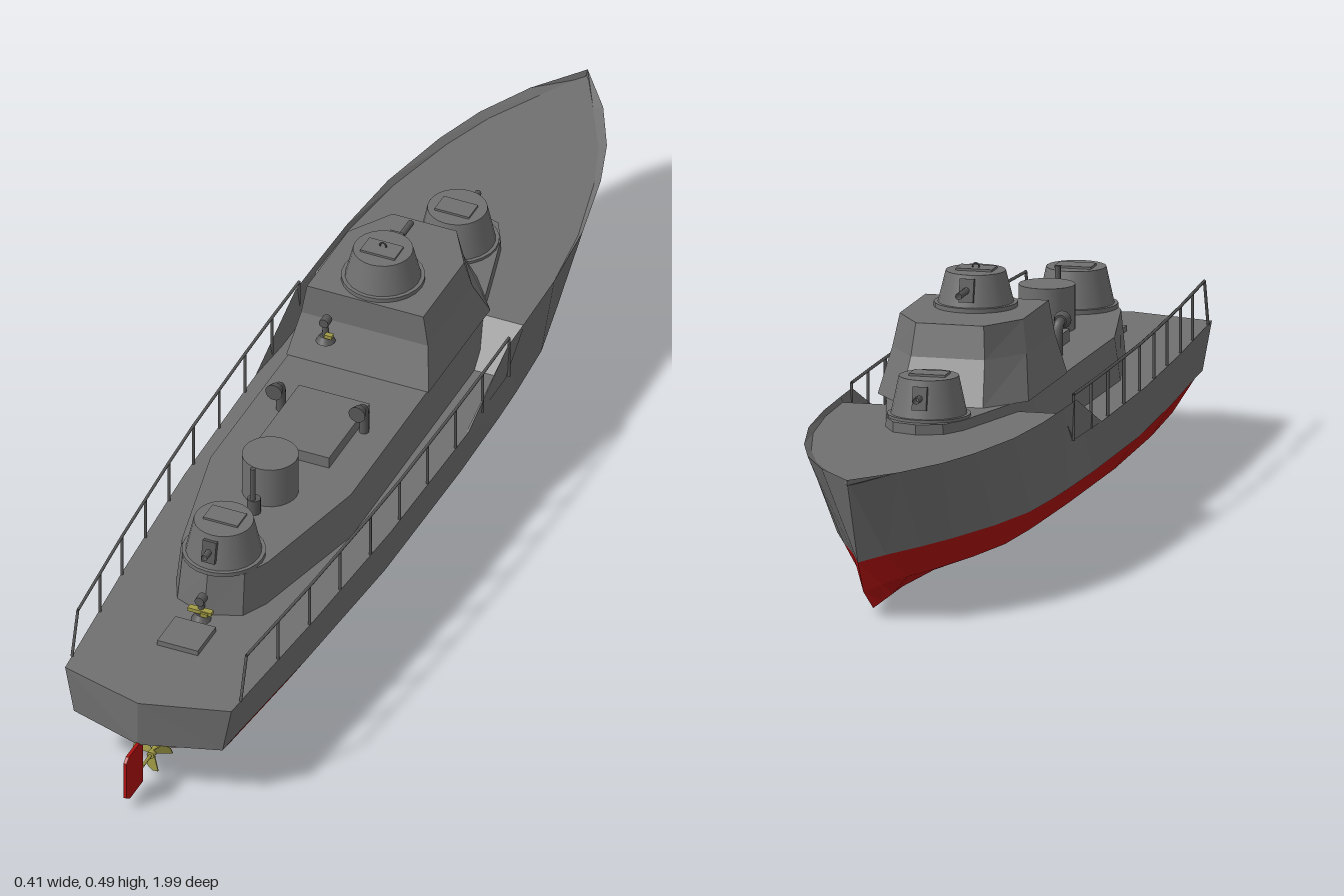
import * as THREE from 'three';

const mat = (name, color) => {
  const m = new THREE.MeshStandardMaterial({ color, side: THREE.DoubleSide });
  m.name = name;
  return m;
};

// Flat-faced surface through rows of points, with optional fan caps [centre, ring]
function sheet(rows, caps = []) {
  const v = [];
  for (let i = 0; i < rows.length - 1; i++) {
    for (let j = 0; j < rows[i].length - 1; j++) {
      const a = rows[i][j], b = rows[i][j + 1], c = rows[i + 1][j + 1], d = rows[i + 1][j];
      v.push(...a, ...b, ...c, ...a, ...c, ...d);
    }
  }
  for (const [centre, ring] of caps) {
    for (let j = 0; j < ring.length - 1; j++) v.push(...centre, ...ring[j], ...ring[j + 1]);
  }
  const g = new THREE.BufferGeometry();
  g.setAttribute('position', new THREE.Float32BufferAttribute(v, 3));
  g.computeVertexNormals();
  return g;
}

// Closed ring from a half outline [x, z] listed bow to stern
function ring(half, y) {
  const right = half.map(([x, z]) => [x, y, z]);
  return [...right.slice().reverse(), ...right.slice(1).map(([x, , z]) => [-x, y, z])];
}

export function createModel() {
  const ship = new THREE.Group();
  ship.name = 'patrolBoat';
  const grey = mat('hullGrey', 0x707070);
  const red = mat('bottomRed', 0xb01010);
  const brass = mat('brass', 0xa09a45);
  const dark = mat('fittingGrey', 0x585858);

  const add = (name, geo, m, pos = [0, 0, 0], parent = ship) => {
    const mesh = new THREE.Mesh(geo, m);
    mesh.name = name;
    mesh.position.set(...pos);
    parent.add(mesh);
    return mesh;
  };
  const box = (x, y, z) => new THREE.BoxGeometry(x, y, z);
  const cyl = (top, bottom, h, n = 24) => new THREE.CylinderGeometry(top, bottom, h, n);
  const tube = (pts, r, n = 16) => new THREE.TubeGeometry(
    new THREE.CatmullRomCurve3(pts.map(p => new THREE.Vector3(...p))), n, r, 10);
  // Thin rod between two points
  const rod = (name, a, b, r, m, parent = ship) => add(name, new THREE.TubeGeometry(
    new THREE.LineCurve3(new THREE.Vector3(...a), new THREE.Vector3(...b)), 1, r, 8), m, [0, 0, 0], parent);

  // Hull stations: z, deck half width, waterline half width, chine half width
  const stations = [
    [-0.99, 0, 0, 0], [-0.9, 0.07, 0.03, 0.015], [-0.8, 0.122, 0.07, 0.04],
    [-0.7, 0.155, 0.105, 0.07], [-0.55, 0.187, 0.147, 0.105], [-0.4, 0.2, 0.175, 0.13],
    [-0.27, 0.203, 0.184, 0.138], [-0.19, 0.204, 0.187, 0.14], [-0.02, 0.205, 0.19, 0.143],
    [0.3, 0.2, 0.187, 0.143], [0.6, 0.183, 0.168, 0.13], [0.83, 0.165, 0.148, 0.112],
    [0.9, 0.16, 0.143, 0], [0.945, 0, 0, 0],
  ];
  const rake = z => Math.max(0, (-0.4 - z) / 0.59);
  const edgeY = z => (z < -0.18 ? 0.267 : 0.195);
  const deckY = z => (z < -0.25 ? 0.257 : 0.195);
  const WATER = 0.105;
  const waterPoint = (s, side) => [side * s[2], WATER, s[0] + 0.075 * rake(s[0])];

  for (const side of [-1, 1]) {
    add('hullSide', sheet(stations.map(s => {
      const row = [waterPoint(s, side), [side * s[1], edgeY(s[0]), s[0]]];
      return side > 0 ? row : row.reverse();
    })), grey);
  }
  const bottomRows = stations.slice(0, 12).map(s => {
    const z = s[0], f = rake(z), aft = z > 0.8 ? 1 : 0;
    const chine = side => [side * s[3], 0.045, z + 0.113 * f - 0.02 * aft];
    return [waterPoint(s, -1), chine(-1), [0, 0.003 - 0.003 * aft, z + 0.18 * f - 0.03 * aft],
      chine(1), waterPoint(s, 1)];
  });
  add('hullBottom', sheet(bottomRows, [[[0, WATER, 0.83], bottomRows[11]]]), red);
  add('sternUnderside', sheet(stations.slice(11).map(s => [waterPoint(s, -1), waterPoint(s, 1)])), grey);

  // Deck with a bulwark lip that widens toward the bow
  add('deck', sheet(stations.map(([z, w]) => {
    const inner = Math.max(0, w - (z < 0.2 ? 0.004 + 0.018 * rake(z) : 0));
    return [[w, edgeY(z), z], [inner, deckY(z), z], [-inner, deckY(z), z], [-w, edgeY(z), z]];
  })), grey);

  // Long deckhouse
  const houseHalf = [[0, -0.52], [0.045, -0.505], [0.07, -0.46], [0.133, -0.22], [0.135, 0.33],
    [0.083, 0.57], [0.06, 0.62], [0, 0.645]];
  const houseRings = [ring(houseHalf.map(([x, z]) => [x * 1.05, z > 0 ? z + 0.014 : z]), 0.195),
    ring(houseHalf, 0.275)];
  add('deckhouse', sheet(houseRings, [[[0, 0.275, 0.05], houseRings[1]]]), grey);

  // Bridge with chamfered front corners: y, half width, front z, back z
  const bridgeRings = [[0.275, 0.137, -0.345, 0], [0.352, 0.122, -0.302, -0.03], [0.41, 0.112, -0.288, -0.033]]
    .map(([y, w, front, back]) => ring([[0, front], [w * 0.55, front], [w, front + 0.08], [w, back], [0, back]], y));
  add('bridge', sheet(bridgeRings, [[[0, 0.41, -0.15], bridgeRings[2]]]), grey);

  // Gun turrets, built facing +z
  function turret(name, y, z, height, reach, turn) {
    const g = new THREE.Group();
    g.name = name;
    g.position.set(0, y, z);
    g.rotation.y = turn;
    ship.add(g);
    add('turretBase', cyl(0.074, 0.074, 0.008), grey, [0, 0.004, 0], g);
    add('turretBody', cyl(0.053, 0.069, height), grey, [0, height / 2, 0], g);
    add('turretHatch', box(0.066, 0.004, 0.04), grey, [0, height + 0.002, -0.005], g);
    add('gunPort', box(0.026, 0.042, 0.016), dark, [0, height * 0.58, 0.058], g).rotation.x = -0.2;
    rod('gunBarrel', [0, height * 0.6, 0.05], [0, height * 0.6, reach], 0.006, dark, g);
    return g;
  }
  turret('foreTurret', 0.272, -0.43, 0.075, 0.09, Math.PI);
  turret('aftTurret', 0.275, 0.575, 0.073, 0.085, 0);
  const director = turret('bridgeTurret', 0.41, -0.11, 0.064, 0.12, Math.PI);
  const handle = add('hatchHandle', new THREE.TorusGeometry(0.006, 0.0015, 6, 12), dark, [0, 0.07, 0], director);
  handle.rotation.y = 0;

  // Funnel, post and deck hatches
  add('funnel', cyl(0.05, 0.05, 0.08), grey, [0, 0.315, 0.375]);
  add('post', cyl(0.005, 0.005, 0.1, 10), dark, [0, 0.323, 0.45]);
  add('postFoot', cyl(0.012, 0.012, 0.03, 12), dark, [0, 0.29, 0.445]);
  add('engineHatch', box(0.136, 0.022, 0.175), grey, [0, 0.286, 0.187]);
  add('aftHatch', box(0.078, 0.01, 0.078), grey, [0, 0.2, 0.735]);

  // Cowl vents
  for (const x of [-0.08, 0.08]) {
    add('ventPipe', tube([[x, 0.27, 0.15], [x, 0.31, 0.15], [x, 0.328, 0.156], [x, 0.332, 0.172]], 0.009), dark);
    add('ventMouth', cyl(0.016, 0.011, 0.016, 16), dark, [x, 0.332, 0.174]).rotation.x = Math.PI / 2;
  }

  // Small pedestal fittings
  function pedestal(name, x, y, z) {
    const g = new THREE.Group();
    g.name = name;
    g.position.set(x, y, z);
    ship.add(g);
    add('pedestalFoot', cyl(0.01, 0.018, 0.012, 12), dark, [0, 0.006, 0], g);
    add('pedestalStem', cyl(0.005, 0.007, 0.035, 10), dark, [0, 0.02, 0], g);
    add('pedestalHead', cyl(0.009, 0.009, 0.018, 12), dark, [0, 0.042, 0], g).rotation.x = Math.PI / 2;
    add('brassFitting', box(0.014, 0.007, 0.01), brass, [0.01, 0.018, 0.008], g);
    return g;
  }
  pedestal('aftPedestal', 0, 0.195, 0.672);
  add('pedestalArm', box(0.045, 0.007, 0.012), brass, [0, 0.215, 0.675]);
  pedestal('bridgePedestal', -0.065, 0.322, -0.008);

  // Guard rails following the deck edge
  const edgeX = z => {
    const i = stations.findIndex(s => s[0] >= z), a = stations[i - 1], b = stations[i];
    return THREE.MathUtils.lerp(a[1], b[1], (z - a[0]) / (b[0] - a[0])) - 0.002;
  };
  for (const side of [-1, 1]) {
    const count = 9, zs = Array.from({ length: count + 1 }, (_, i) => -0.2 + i * 1.04 / count);
    zs.forEach((z, i) => {
      const x = side * edgeX(z), lean = i === count ? 0.025 : 0;
      rod('railPost', [x, 0.195, z + lean], [x, 0.278, z], 0.0028, dark);
      if (i) rod('topRail', [side * edgeX(zs[i - 1]), 0.278, zs[i - 1]], [x, 0.278, z], 0.0028, dark);
    });
  }

  // Rudder
  const rudder = new THREE.Shape([[-1, 0.025], [-0.985, 0.015], [-0.93, 0.015], [-0.93, 0.108], [-0.99, 0.108], [-1, 0.1]]
    .map(p => new THREE.Vector2(...p)));
  const rudderGeo = new THREE.ExtrudeGeometry(rudder, { depth: 0.006, bevelEnabled: false });
  rudderGeo.translate(0, 0, -0.003).rotateY(Math.PI / 2);
  add('rudder', rudderGeo, red);

  // Propeller with three twisted blades
  rod('propellerShaft', [0, 0.044, 0.78], [0, 0.044, 0.93], 0.003, brass);
  add('propellerHub', cyl(0.007, 0.007, 0.022, 12), brass, [0, 0.044, 0.88]).rotation.x = Math.PI / 2;
  const blade = new THREE.Shape([[-0.004, 0.003], [0.004, 0.003], [0.014, 0.034], [0, 0.039], [-0.014, 0.034]]
    .map(p => new THREE.Vector2(...p)));
  for (let i = 0; i < 3; i++) {
    const geo = new THREE.ExtrudeGeometry(blade, { depth: 0.002, bevelEnabled: false });
    geo.translate(0, 0, -0.001).rotateY(0.4).rotateZ(Math.PI + i * Math.PI * 2 / 3);
    add('propellerBlade', geo, brass, [0, 0.044, 0.88]);
  }
  return ship;
}
